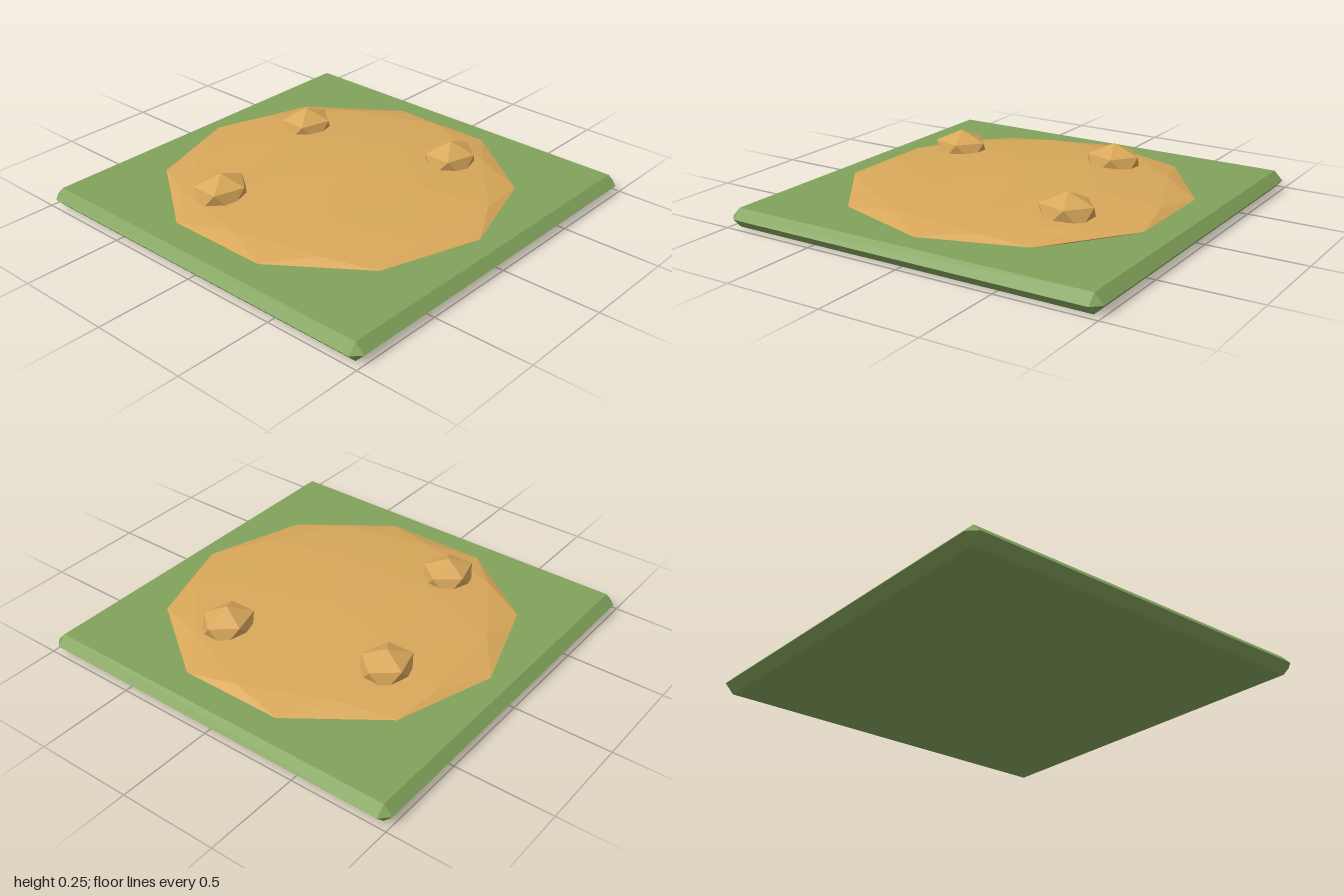
import * as THREE from 'three';
import { ConvexGeometry } from 'three/addons/geometries/ConvexGeometry.js';

// Faceted ball with one corner pointing straight up and the next ring starting at +x
function facetedBall(rx, ry, rz, detail) {
  const geometry = new THREE.IcosahedronGeometry(1, detail);
  geometry.rotateZ(-Math.atan(2 / (1 + Math.sqrt(5))));
  return geometry.scale(rx, ry, rz);
}

export function createModel() {
  const group = new THREE.Group();
  group.name = 'sandyTile';

  const grass = new THREE.MeshStandardMaterial({ color: 0x82a25b, flatShading: true });
  grass.name = 'grass green';
  const sand = new THREE.MeshStandardMaterial({ color: 0xd8a75a, flatShading: true });
  sand.name = 'sand';

  // Square slab with bevelled edges meeting at mid height
  const height = 0.095, inner = 0.955;
  const points = [];
  for (const sx of [-1, 1]) {
    for (const sz of [-1, 1]) {
      points.push(
        new THREE.Vector3(sx * inner, 0, sz * inner),
        new THREE.Vector3(sx * inner, height, sz * inner),
        new THREE.Vector3(sx, height / 2, sz * inner),
        new THREE.Vector3(sx * inner, height / 2, sz)
      );
    }
  }
  const base = new THREE.Mesh(new ConvexGeometry(points), grass);
  base.name = 'grassBase';
  group.add(base);

  // Low sand mound, its lower half sunk in the slab
  const mound = new THREE.Mesh(facetedBall(0.865, 0.058, 0.865, 1), sand);
  mound.name = 'sandMound';
  mound.position.y = 0.109;
  group.add(mound);

  // Three rocks resting on the mound
  const rockGeometry = facetedBall(0.154, 0.1, 0.135, 0);
  [[-0.533, -0.27], [0.272, -0.47], [0.467, 0.33]].forEach(([x, z], i) => {
    const rock = new THREE.Mesh(rockGeometry, sand);
    rock.name = `rock${i + 1}`;
    rock.position.set(x, 0.155, z);
    group.add(rock);
  });

  return group;
}
